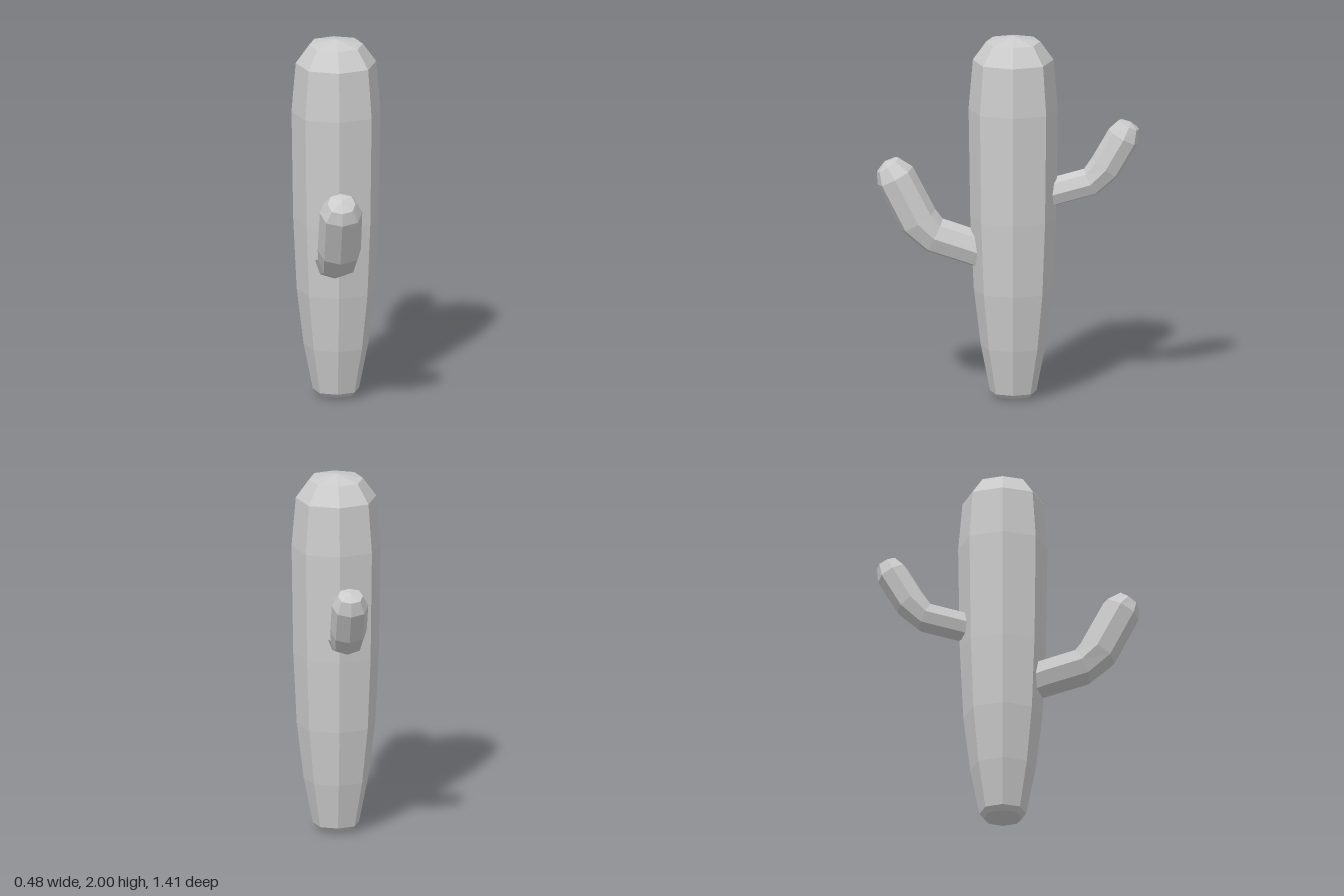
import * as THREE from 'three';

const SIDES = 8;
const material = new THREE.MeshStandardMaterial({ color: 0xcccccc, flatShading: true });

// Faceted limb: rings [z, y, radius] follow a path in the plane x = centreX.
function limb(name, centreX, widthScale, rings) {
  const loops = rings.map(([z, y, r], i) => {
    const a = rings[Math.max(i - 1, 0)];
    const b = rings[Math.min(i + 1, rings.length - 1)];
    const length = Math.hypot(b[0] - a[0], b[1] - a[1]);
    const tz = (b[0] - a[0]) / length;
    const ty = (b[1] - a[1]) / length;
    const loop = [];
    for (let j = 0; j < SIDES; j++) {
      const angle = (j / SIDES) * Math.PI * 2;
      const bulge = j % 2 ? r * 1.05 : r; // slightly squared octagon
      const u = Math.cos(angle) * bulge * widthScale;
      const v = Math.sin(angle) * bulge;
      loop.push([centreX + u, y + v * tz, z - v * ty]);
    }
    return loop;
  });
  const positions = [];
  for (let i = 0; i < loops.length - 1; i++) {
    for (let j = 0; j < SIDES; j++) {
      const k = (j + 1) % SIDES;
      const a = loops[i][j], b = loops[i][k], c = loops[i + 1][k], d = loops[i + 1][j];
      if (rings[i][2] > 0) positions.push(...a, ...b, ...c);
      if (rings[i + 1][2] > 0) positions.push(...a, ...c, ...d);
    }
  }
  // pointed ends lose one triangle of each quad; the other closes the fan
  const geometry = new THREE.BufferGeometry();
  geometry.setAttribute('position', new THREE.Float32BufferAttribute(positions, 3));
  geometry.computeVertexNormals();
  const mesh = new THREE.Mesh(geometry, material);
  mesh.name = name;
  return mesh;
}

export function createModel() {
  const group = new THREE.Group();
  group.name = 'cactus';

  // Trunk: narrow foot, widest in the upper third, low domed top
  const profile = [
    [0, 0], [0.01, 0.1], [0.035, 0.125], [0.29, 0.175], [0.6, 0.212],
    [1.0, 0.231], [1.6, 0.24], [1.87, 0.217], [1.97, 0.145], [2, 0],
  ];
  group.add(limb('trunk', 0, 1, profile.map(([y, r]) => [-0.03, y, r])));

  // Lower, thicker arm at the front
  group.add(limb('frontArm', -0.022, 1.07, [
    [0.08, 0.785, 0], [0.1, 0.79, 0.097], [0.19, 0.825, 0.098], [0.395, 0.893, 0.1],
    [0.48, 0.975, 0.109], [0.605, 1.22, 0.107], [0.645, 1.28, 0.07], [0.66, 1.3, 0],
  ]));

  // Higher, thinner arm at the back
  group.add(limb('backArm', -0.024, 1.12, [
    [-0.13, 1.1, 0], [-0.15, 1.105, 0.076], [-0.255, 1.135, 0.077], [-0.445, 1.188, 0.078],
    [-0.525, 1.27, 0.088], [-0.623, 1.44, 0.088], [-0.652, 1.503, 0.06], [-0.66, 1.52, 0],
  ]));

  return group;
}
